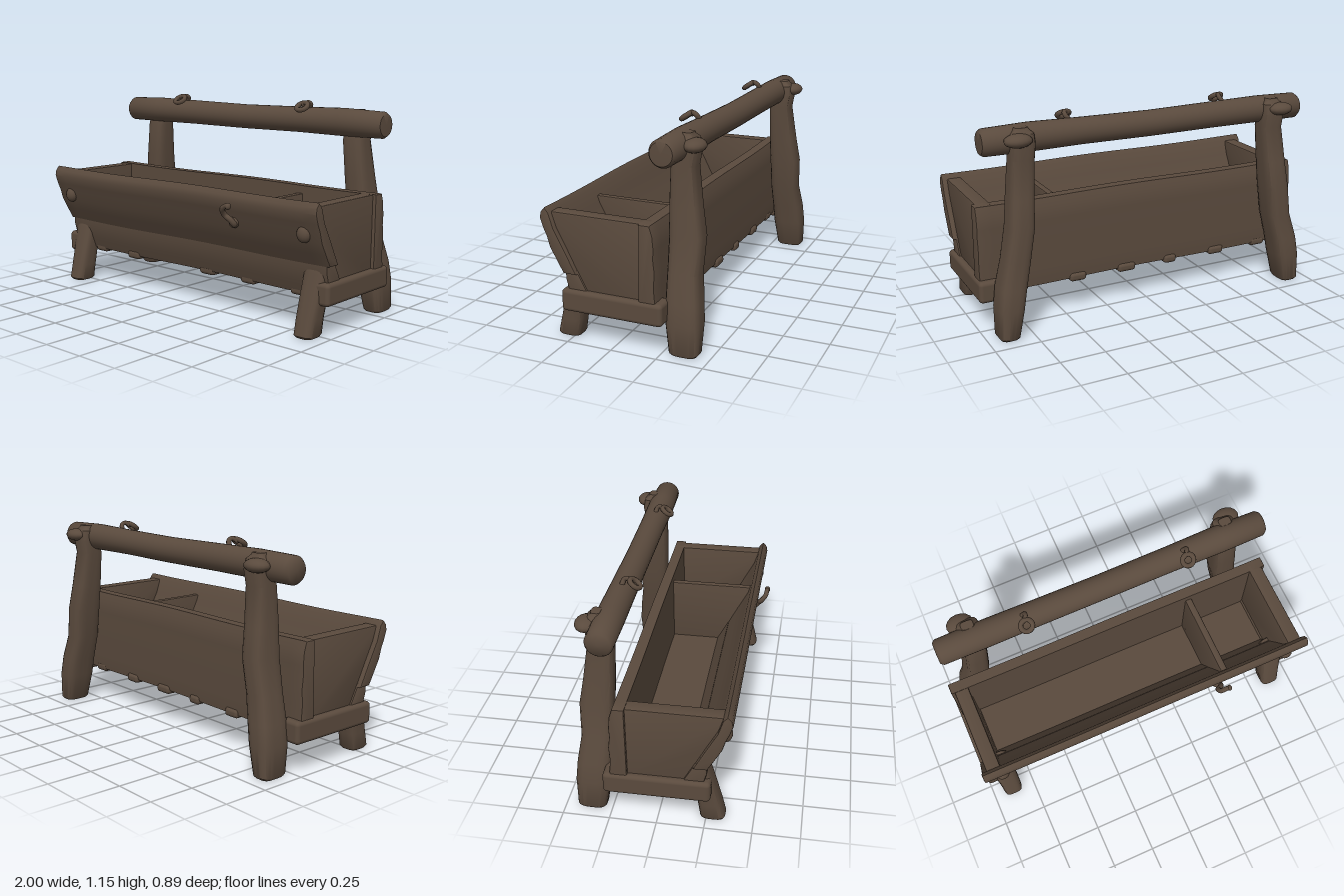
import * as THREE from 'three';
import { toCreasedNormals, mergeVertices } from 'three/addons/utils/BufferGeometryUtils.js';
import { RoundedBoxGeometry } from 'three/addons/geometries/RoundedBoxGeometry.js';

const wood = new THREE.MeshStandardMaterial({ color: 0x5a4a3d });
wood.name = 'weathered wood';

export function createModel() {
  const root = new THREE.Group();
  root.name = 'trough';

  const add = (name, geo, x = 0, y = 0, z = 0) => {
    const mesh = new THREE.Mesh(geo, wood);
    mesh.name = name;
    mesh.position.set(x, y, z);
    root.add(mesh);
    return mesh;
  };

  // Board from a (z, y) outline swept along x, with a slight waver in its height
  const board = (name, outline, x0, x1, waver = 0, bevel = 0.008) => {
    const shape = new THREE.Shape(outline.map(([z, y]) => new THREE.Vector2(-z, y)));
    const geo = new THREE.ExtrudeGeometry(shape, {
      depth: x1 - x0 - 2 * bevel, steps: waver ? 24 : 1,
      bevelEnabled: true, bevelSize: bevel, bevelThickness: bevel, bevelOffset: -bevel, bevelSegments: 2,
    });
    geo.rotateY(Math.PI / 2).translate(x0 + bevel, 0, 0);
    const p = geo.attributes.position;
    for (let i = 0; i < p.count; i++) p.setY(i, p.getY(i) + waver * Math.sin(p.getX(i) * 5 + 1));
    return add(name, toCreasedNormals(geo, 0.6));
  };

  // Rounded-square log through sections [x, y, z, halfWidth, halfDepth], bottom to top
  const hewn = (name, rows) => {
    const n = 24, pos = [], idx = [];
    const first = rows[0], last = rows[rows.length - 1];
    const shrink = ([x, y, z, w, d], dy, k) => [x, y + dy, z, w * k, d * k];
    const all = [shrink(first, 0, 0.001), shrink(first, 0, 0.86), shrink(first, 0.012, 1),
      ...rows.slice(1, -1), shrink(last, -0.012, 1), shrink(last, 0, 0.86), shrink(last, 0, 0.001)];
    for (const [x, y, z, w, d] of all) {
      for (let i = 0; i < n; i++) {
        const a = (i / n) * Math.PI * 2, c = Math.cos(a), s = Math.sin(a);
        const k = 1 / Math.pow(c ** 4 + s ** 4, 0.25);
        pos.push(x + w * c * k, y, z + d * s * k);
      }
    }
    for (let j = 0; j < all.length - 1; j++) for (let i = 0; i < n; i++) {
      const a = j * n + i, b = j * n + (i + 1) % n;
      idx.push(a, a + n, b, b, a + n, b + n);
    }
    const geo = new THREE.BufferGeometry();
    geo.setAttribute('position', new THREE.Float32BufferAttribute(pos, 3));
    geo.setIndex(idx);
    return add(name, toCreasedNormals(geo, 0.7));
  };

  // Rounded lump of wood with the given radii
  const lump = (name, x, y, z, rx, ry, rz) =>
    add(name, new THREE.SphereGeometry(1, 16, 12), x, y, z).scale.set(rx, ry, rz);

  // Twig along a curve, its radius running from r0 to r1
  const twig = (name, points, r0, r1) => {
    const curve = new THREE.CatmullRomCurve3(points.map((p) => new THREE.Vector3(...p)));
    const geo = new THREE.TubeGeometry(curve, 24, 1, 8);
    const p = geo.attributes.position, v = new THREE.Vector3();
    for (let i = 0; i < p.count; i++) {
      const t = Math.floor(i / 9) / 24, c = curve.getPointAt(t);
      v.fromBufferAttribute(p, i).sub(c).multiplyScalar(r0 + (r1 - r0) * t).add(c);
      p.setXYZ(i, v.x, v.y, v.z);
    }
    add(name, geo);
    lump(name + 'Tip', ...points[points.length - 1], r1, r1 * 1.3, r1 * 1.2);
  };

  // Slanted front, upper and lower planks
  board('frontUpperPlank', [[0.36, 0.715], [0.382, 0.69], [0.388, 0.66], [0.372, 0.61], [0.352, 0.565],
    [0.336, 0.51], [0.3, 0.445], [0.262, 0.378], [0.19, 0.378], [0.25, 0.495], [0.312, 0.61], [0.337, 0.69]],
  -0.995, 0.995, 0.003);
  board('frontLowerPlank', [[0.262, 0.395], [0.26, 0.34], [0.24, 0.27], [0.215, 0.205], [0.15, 0.205],
    [0.13, 0.27], [0.197, 0.395]], -0.975, 0.975, 0.003);

  // Back wall and floor
  board('backWall', [[-0.155, 0.69], [-0.215, 0.69], [-0.231, 0.64], [-0.237, 0.57], [-0.234, 0.52],
    [-0.242, 0.45], [-0.236, 0.37], [-0.242, 0.3], [-0.235, 0.205], [-0.15, 0.205]], -0.985, 0.985, 0.003);
  board('floor', [[0.21, 0.27], [0.21, 0.205], [-0.22, 0.205], [-0.22, 0.27]], -0.95, 0.95, 0.003);

  // End walls and inner divider
  const endOutline = [[0.345, 0.688], [0.315, 0.6], [0.265, 0.5], [0.16, 0.29], [0.14, 0.24], [-0.19, 0.24], [-0.19, 0.688]];
  board('leftEndWall', endOutline, 0.885, 0.965);
  board('rightEndWall', endOutline, -0.965, -0.885);
  board('divider', [[0.335, 0.645], [0.26, 0.49], [0.14, 0.25], [-0.18, 0.25], [-0.18, 0.645]], 0.47, 0.51);

  // Battens under the floor
  for (const [x, w, z0, z1] of [[-0.77, 0.1, -0.24, 0.22], [-0.47, 0.1, -0.25, 0.23], [-0.16, 0.08, -0.25, -0.05],
    [0.12, 0.11, -0.25, 0.22], [0.42, 0.1, -0.25, 0.22], [0.76, 0.1, -0.24, 0.22]]) {
    add('batten', new RoundedBoxGeometry(w, 0.05, z1 - z0, 3, 0.02), x, 0.208, (z0 + z1) / 2);
  }

  for (const s of [-1, 1]) {
    const side = s > 0 ? 'left' : 'right';

    // End crossbeam
    add(side + 'Crossbeam', new RoundedBoxGeometry(0.12, 0.12, 0.56, 3, 0.022), s * 0.938, 0.232, 0);

    // Splayed front leg
    hewn(side + 'FrontLeg', [[s * 0.88, 0.005, 0.284, 0.056, 0.066], [s * 0.88, 0.1, 0.268, 0.058, 0.062],
      [s * 0.885, 0.24, 0.235, 0.064, 0.056], [s * 0.89, 0.33, 0.215, 0.068, 0.05], [s * 0.89, 0.38, 0.21, 0.066, 0.045]]);

    // Rear post, upright above the trough and kicking out at the foot
    hewn(side + 'RearPost', [[s * 0.885, 0.005, -0.36, 0.056, 0.078], [s * 0.868, 0.17, -0.352, 0.07, 0.092],
      [s * 0.85, 0.28, -0.345, 0.073, 0.09], [s * 0.815, 0.42, -0.332, 0.07, 0.083], [s * 0.788, 0.6, -0.335, 0.068, 0.088],
      [s * 0.775, 0.75, -0.32, 0.066, 0.078], [s * 0.757, 0.95, -0.307, 0.064, 0.064], [s * 0.757, 1.03, -0.325, 0.066, 0.06],
      [s * 0.757, 1.085, -0.33, 0.06, 0.044], [s * 0.757, 1.115, -0.325, 0.04, 0.028]]);
    lump(side + 'PostKnob', s * 0.79, 1.058, -0.37, 0.075, 0.036, 0.058);

    // Peg on the front plank
    lump(side + 'Peg', s * 0.89, 0.545, 0.342, 0.04, 0.045, 0.035);

    // Curled twig on the rail
    const x = s * 0.47;
    twig(side + 'RailTwig', [[x, 1.11, -0.26], [x + 0.015, 1.135, -0.25], [x + 0.01, 1.145, -0.23],
      [x - 0.01, 1.135, -0.215]], 0.014, 0.012);
    const loop = add(side + 'RailLoop', new THREE.TorusGeometry(0.032, 0.014, 8, 20), x, 1.124, -0.19);
    loop.rotation.x = -0.95;
  }

  // Round rail, gently uneven along its length
  const rail = new THREE.LatheGeometry([[0, -0.965], [0.06, -0.962], [0.073, -0.945], [0.076, -0.7], [0.073, -0.4],
    [0.071, 0], [0.072, 0.4], [0.077, 0.7], [0.072, 0.945], [0.06, 0.962], [0, 0.965]]
    .map(([r, y]) => new THREE.Vector2(r, y)), 28);
  rail.rotateZ(-Math.PI / 2);
  const p = rail.attributes.position;
  for (let i = 0; i < p.count; i++) p.setY(i, p.getY(i) - 0.003 * Math.cos(p.getX(i) * 5));
  add('rail', toCreasedNormals(mergeVertices(rail), 0.9), 0, 1.043, -0.27);

  // Hooked twig on the front plank, growing from a small knot
  lump('frontTwigKnot', 0.44, 0.545, 0.348, 0.03, 0.03, 0.025);
  twig('frontTwig', [[0.43, 0.545, 0.335], [0.455, 0.54, 0.365], [0.445, 0.565, 0.385], [0.42, 0.59, 0.4],
    [0.425, 0.625, 0.425], [0.455, 0.645, 0.43], [0.47, 0.645, 0.432]], 0.017, 0.014);

  return root;
}
